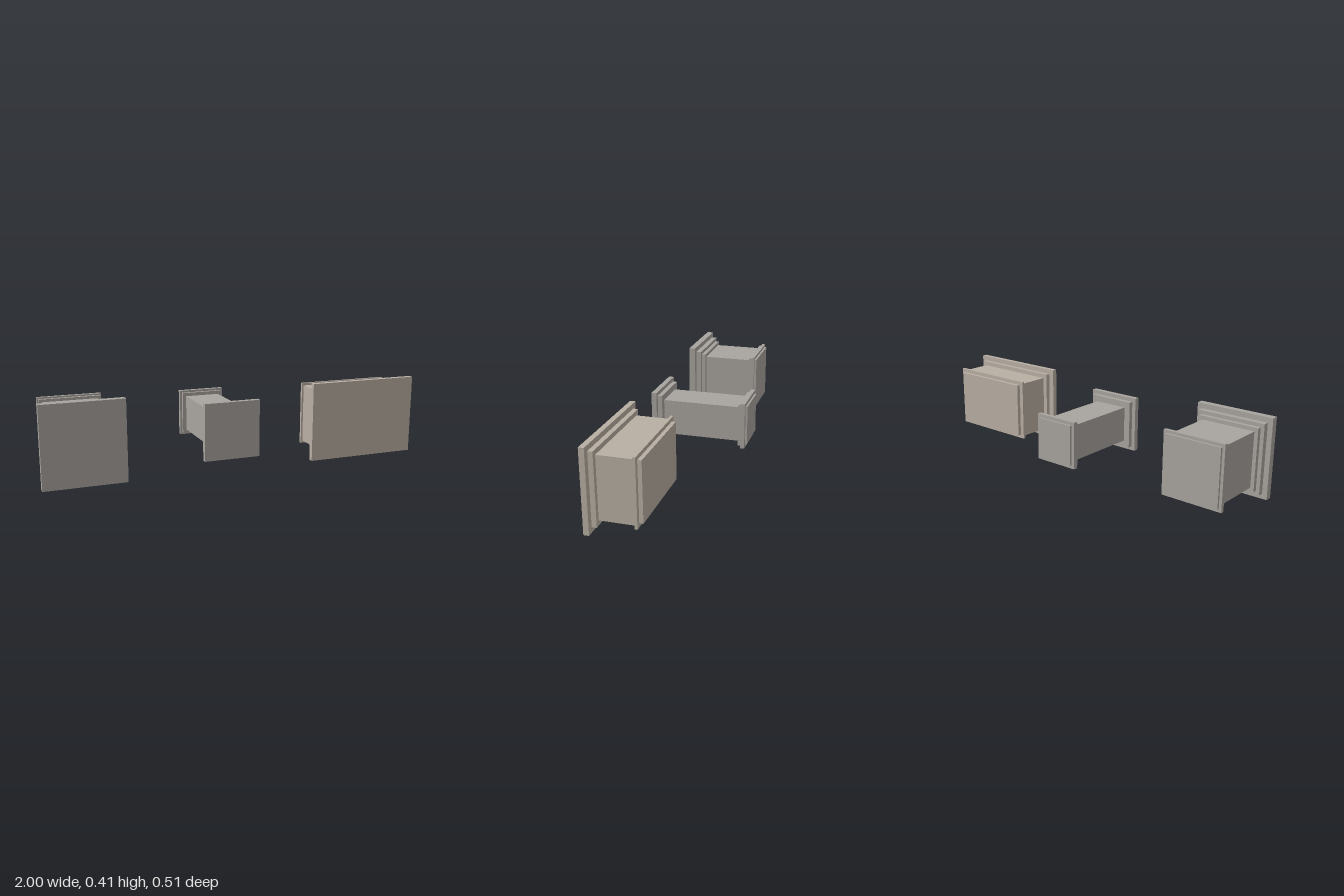
import * as THREE from 'three';

const CENTER_Y = 0.207;

// Stack square-edged slabs along z, from the wide base (+z) back to the cap.
// Each layer: [name, half width, half height, z where the layer ends]
function pedestal(name, x, color, layers) {
  const group = new THREE.Group();
  group.name = name;
  group.position.set(x, CENTER_Y, 0);
  const material = new THREE.MeshStandardMaterial({ color });
  let front = 0.254;
  for (const [part, halfW, halfH, back] of layers) {
    const mesh = new THREE.Mesh(new THREE.BoxGeometry(halfW * 2, halfH * 2, front - back), material);
    mesh.name = part;
    mesh.position.z = (front + back) / 2;
    group.add(mesh);
    front = back;
  }
  return group;
}

export function createModel() {
  const model = new THREE.Group();
  model.name = 'pedestals';
  const grey = 0xa8a49e, tan = 0xb9afa4;

  // Square pedestal with three base steps
  model.add(pedestal('squarePedestal', -0.795, grey, [
    ['base', 0.205, 0.2065, 0.218],
    ['lowerStep', 0.179, 0.18, 0.188],
    ['upperStep', 0.16, 0.161, 0.165],
    ['shaft', 0.141, 0.142, -0.104],
    ['capMoulding', 0.155, 0.156, -0.12],
    ['capSlab', 0.163, 0.164, -0.1375],
    ['capTop', 0.149, 0.149, -0.149],
  ]));

  // Tall slender pedestal
  model.add(pedestal('tallPedestal', -0.0505, grey, [
    ['base', 0.1475, 0.1475, 0.227],
    ['step', 0.127, 0.127, 0.203],
    ['shaft', 0.093, 0.094, -0.206],
    ['capMoulding', 0.112, 0.112, -0.2215],
    ['capSlab', 0.123, 0.123, -0.244],
    ['capTop', 0.105, 0.105, -0.254],
  ]));

  // Low wide pedestal
  model.add(pedestal('widePedestal', 0.7, tan, [
    ['base', 0.3, 0.2065, 0.227],
    ['step', 0.269, 0.18, 0.203],
    ['shaft', 0.245, 0.156, 0.033],
    ['capSlab', 0.255, 0.169, 0.0195],
    ['capTop', 0.232, 0.149, 0],
  ]));

  return model;
}
